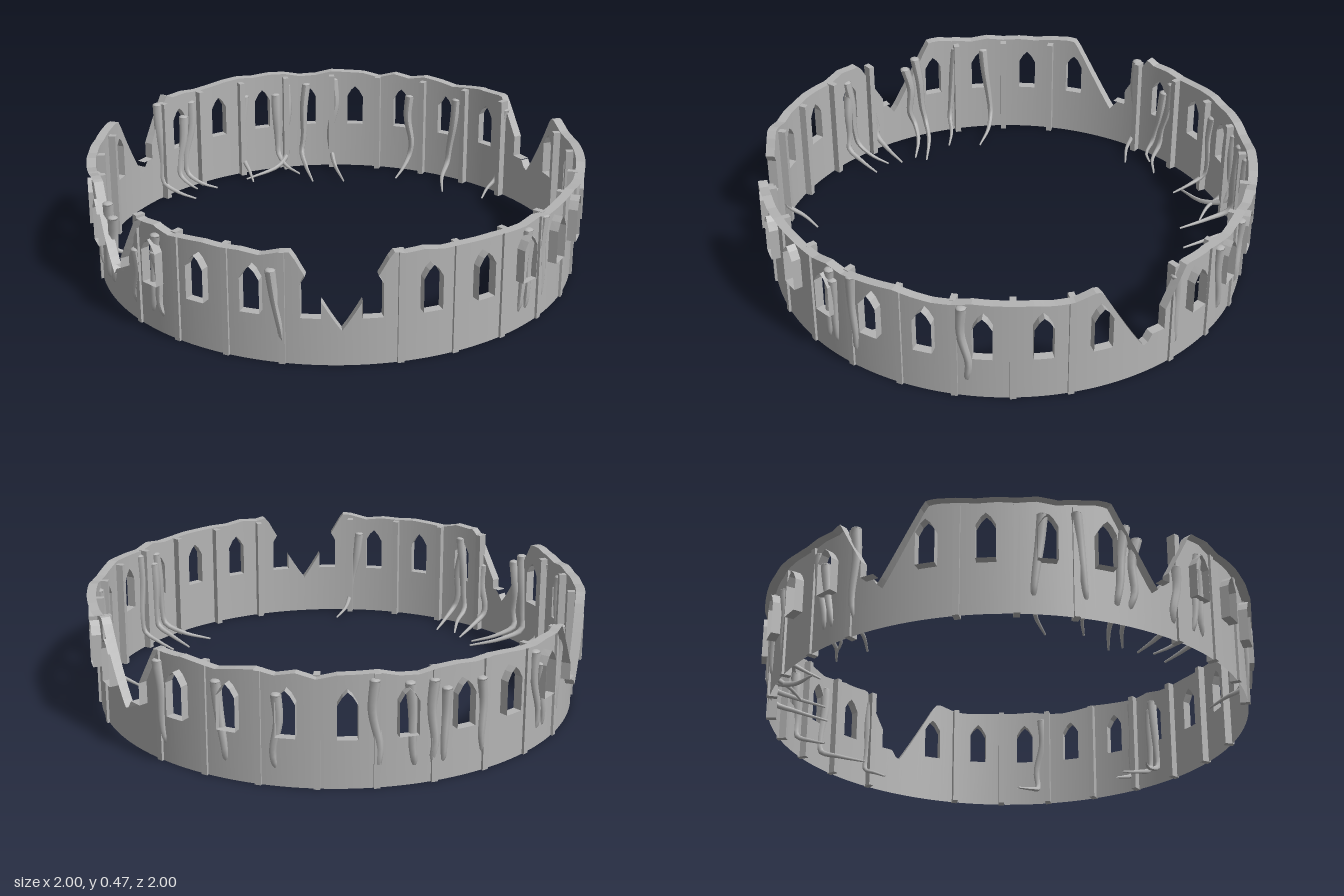
import * as THREE from 'three';
import { mergeVertices } from 'three/addons/utils/BufferGeometryUtils.js';

const R_IN = 0.963, R_OUT = 1.0;
const BAYS = 28, PER_BAY = 12, COLS = BAYS * PER_BAY;
const SILL = 0.207;
const ARCH = [0.39, 0.372, 0.34]; // arch height at 0, 1, 2 columns from the window centre
const NOTCHES = [0, 119.3, 240, 301];
const DEG = Math.PI / 180;

let seed = 11;
const rand = () => (seed = (seed * 16807) % 2147483647) / 2147483647;

// point at azimuth a (degrees, 0 = front, 90 = +x)
const at = (a, r, y) => new THREE.Vector3(Math.sin(a * DEG) * r, y, Math.cos(a * DEG) * r);
const notchDistance = (a) => Math.min(...NOTCHES.map((n) => Math.abs(((a - n + 540) % 360) - 180)));

// worn top edge: gentle wobble, cut by V-shaped breaches
const KNOTS = 84;
const wobble = Array.from({ length: KNOTS }, () => 0.438 + 0.024 * rand());
function topAt(col) {
  const a = ((col % COLS) * 360) / COLS;
  const k = (a / 360) * KNOTS, i = Math.floor(k + 1e-6), f = k - i;
  const d = notchDistance(a);
  const base = wobble[i % KNOTS] * (1 - f) + wobble[(i + 1) % KNOTS] * f;
  const lift = 0.018 * Math.max(0, 1 - Math.abs(d - 11) / 6);
  return Math.min(base + lift, 0.16 + 0.3 * Math.pow(d / 10.4, 1.08));
}

function quad(list, a, b, c, d) {
  for (const p of [a, b, c, a, c, d]) list.push(p.x, p.y, p.z);
}

function toGeometry(list) {
  const g = new THREE.BufferGeometry();
  g.setAttribute('position', new THREE.Float32BufferAttribute(list, 3));
  return g;
}

// curved wall sheet with window openings, plus the ledges reaching outward
function buildWall(group, stone) {
  const face = [], rim = [], reveals = [];
  const angle = (c) => (c * 360) / COLS;
  const panel = (c, y0, y1, y2, y3) => {
    if (y3 - y0 < 1e-5 && y2 - y1 < 1e-5) return;
    quad(face, at(angle(c + 1), R_IN, y1), at(angle(c), R_IN, y0),
      at(angle(c), R_IN, y3), at(angle(c + 1), R_IN, y2));
  };
  const ledge = (list, c, ya, yb, up) => {
    const p = [at(angle(c), R_IN, ya), at(angle(c), R_OUT, ya),
      at(angle(c + 1), R_OUT, yb), at(angle(c + 1), R_IN, yb)];
    if (!up) p.reverse();
    quad(list, ...p);
  };
  const jamb = (c, flip) => {
    const y = Math.min(ARCH[2], topAt(c));
    if (y <= SILL) return;
    const p = [at(angle(c), R_IN, SILL), at(angle(c), R_OUT, SILL),
      at(angle(c), R_OUT, y), at(angle(c), R_IN, y)];
    if (flip) p.reverse();
    quad(reveals, ...p);
  };
  for (let c = 0; c < COLS; c++) {
    const ta = topAt(c), tb = topAt(c + 1);
    const k = (c % PER_BAY) - PER_BAY / 2; // columns from the window centre
    if (k < -2 || k > 1) {
      panel(c, 0, 0, tb, ta);
      ledge(rim, c, ta, tb, true);
      continue;
    }
    const ha = ARCH[Math.abs(k)], hb = ARCH[Math.abs(k + 1)];
    panel(c, 0, 0, Math.min(SILL, tb), Math.min(SILL, ta));
    panel(c, ha, hb, Math.max(hb, tb), Math.max(ha, ta));
    if (ta > SILL || tb > SILL) ledge(reveals, c, SILL, SILL, true);
    if (ta > ha || tb > hb) {
      ledge(reveals, c, ha, hb, false);
      ledge(rim, c, Math.max(ha, ta), Math.max(hb, tb), true);
    } else if (ta < SILL && tb < SILL) ledge(rim, c, ta, tb, true);
    if (k === -2) jamb(c, false);
    if (k === 1) jamb(c + 1, true);
  }
  const parts = { wall: mergeVertices(toGeometry(face), 1e-4), wallTop: toGeometry(rim), windowReveals: toGeometry(reveals) };
  for (const [name, geo] of Object.entries(parts)) {
    geo.computeVertexNormals();
    const m = new THREE.Mesh(geo, stone);
    m.name = name;
    group.add(m);
  }
}

// slim posts between the windows
function buildPosts(group, stone) {
  for (let i = 0; i < BAYS; i++) {
    const a = (i * 360) / BAYS;
    if (notchDistance(a) < 7) continue;
    const h = 0.445;
    const post = new THREE.Mesh(new THREE.BoxGeometry(0.024, h, 0.04), stone);
    post.position.copy(at(a, 0.953, h / 2));
    post.rotation.y = a * DEG;
    post.name = 'post';
    group.add(post);
  }
}

// roots: base x, base z, tip x, tip z, top height
const ROOTS = [
  [-0.21, 0.93, -0.13, 0.80, 0.37], [0.95, 0.17, 0.78, 0.07, 0.41],
  [0.67, 0.69, 0.47, 0.61, 0.40], [0.70, 0.66, 0.57, 0.52, 0.36],
  [0.77, 0.59, 0.64, 0.50, 0.42], [0.74, -0.62, 0.66, -0.52, 0.40],
  [0.53, -0.80, 0.49, -0.60, 0.38], [0.36, -0.89, 0.29, -0.76, 0.36],
  [0.00, -0.96, 0.05, -0.73, 0.42], [-0.14, -0.95, -0.09, -0.73, 0.40],
  [-0.25, -0.93, -0.15, -0.82, 0.36], [-0.21, -0.94, -0.39, -0.76, 0.40],
  [-0.41, -0.87, -0.36, -0.73, 0.37], [-0.66, -0.70, -0.52, -0.66, 0.40],
  [-0.76, -0.59, -0.61, -0.54, 0.44], [-0.69, -0.67, -0.61, -0.65, 0.34],
  [-0.96, 0.06, -0.77, 0.11, 0.40], [-0.93, 0.25, -0.77, 0.25, 0.42],
  [-0.89, 0.36, -0.65, 0.35, 0.40], [-0.87, 0.41, -0.67, 0.40, 0.36],
  [-0.77, 0.58, -0.63, 0.46, 0.30], [-0.70, 0.66, -0.62, 0.52, 0.40],
  [-0.66, 0.70, -0.55, 0.57, 0.33],
];

function taperedTube(curve, r0, r1, segs = 20, sides = 7) {
  const g = new THREE.TubeGeometry(curve, segs, r0, sides);
  const pos = g.attributes.position, p = new THREE.Vector3();
  for (let i = 0; i <= segs; i++) {
    const c = curve.getPointAt(i / segs);
    const s = 1 + (r1 / r0 - 1) * Math.pow(i / segs, 1.3);
    for (let j = 0; j <= sides; j++) {
      const n = i * (sides + 1) + j;
      p.fromBufferAttribute(pos, n).sub(c).multiplyScalar(s).add(c);
      pos.setXYZ(n, p.x, p.y, p.z);
    }
  }
  g.computeVertexNormals();
  return g;
}

function buildRoots(group, stone) {
  for (const [bx, bz, tx, tz, top] of ROOTS) {
    const a = Math.atan2(bx, bz) / DEG;
    const lean = (rand() - 0.5) * 5, sway = (rand() - 0.5) * 1.5;
    const tip = new THREE.Vector3(tx, 0.015, tz);
    const mid = at(a, 0.87, 0.04).lerp(new THREE.Vector3((bx + tx) / 2, 0.04, (bz + tz) / 2), 0.55);
    const curve = new THREE.CatmullRomCurve3([
      at(a + lean, 0.968, top), at(a + lean * 0.7 + sway, 0.962, top * 0.72),
      at(a + lean * 0.2 - sway, 0.964, top * 0.38), at(a, 0.953, 0.075), mid, tip,
    ]);
    const root = new THREE.Group();
    root.name = 'root';
    root.add(new THREE.Mesh(taperedTube(curve, 0.021, 0.004), stone));
    const cap = new THREE.Mesh(new THREE.SphereGeometry(0.021, 8, 5), stone);
    cap.scale.y = 0.4;
    cap.position.copy(curve.getPoint(0));
    root.add(cap);
    group.add(root);
  }
}

export function createModel() {
  seed = 11;
  const group = new THREE.Group();
  group.name = 'ruinedRingWall';
  const stone = new THREE.MeshStandardMaterial({ color: 0xb4b4b4, side: THREE.DoubleSide });
  stone.name = 'grey stone';
  buildWall(group, stone);
  buildPosts(group, stone);
  buildRoots(group, stone);
  return group;
}
